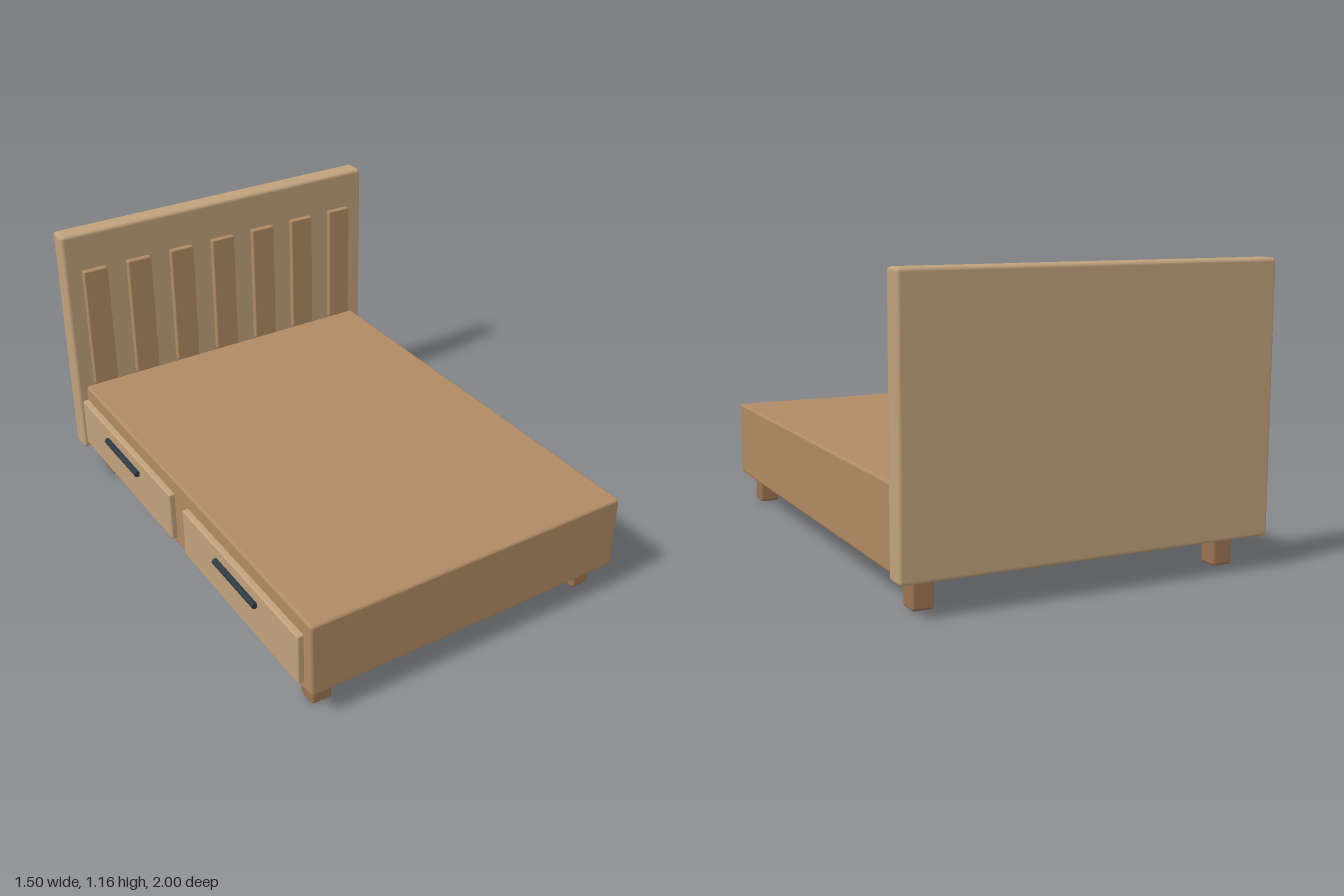
import * as THREE from 'three';
import { RoundedBoxGeometry } from 'three/addons/geometries/RoundedBoxGeometry.js';

const mat = (color) => new THREE.MeshStandardMaterial({ color });

export function createModel() {
  const bed = new THREE.Group();
  bed.name = 'bed';
  const wood = mat(0xb08a64), paleWood = mat(0xc0a27c), darkWood = mat(0x9c7351), metal = mat(0x2f3a44);

  // Softly bevelled block given by its limits on each axis
  function block(name, material, [x0, x1], [y0, y1], [z0, z1], bevel) {
    const mesh = new THREE.Mesh(new RoundedBoxGeometry(x1 - x0, y1 - y0, z1 - z0, 2, bevel), material);
    mesh.position.set((x0 + x1) / 2, (y0 + y1) / 2, (z0 + z1) / 2);
    mesh.name = name;
    bed.add(mesh);
  }

  // Solid base and headboard
  block('base', wood, [-0.705, 0.705], [0.117, 0.437], [-0.97, 1], 0.012);
  block('headboard', paleWood, [-0.747, 0.747], [0.125, 1.165], [-1, -0.91], 0.015);

  // Seven raised slats on the headboard
  for (let i = -3; i <= 3; i++) {
    const x = i * 0.205;
    block('headboardSlat', wood, [x - 0.055, x + 0.055], [0.45, 0.997], [-0.925, -0.888], 0.006);
  }

  // Four short legs
  for (const x of [-0.618, 0.618]) {
    for (const z of [-0.86, 0.89]) {
      block('leg', darkWood, [x - 0.042, x + 0.042], [0, 0.135], [z - 0.042, z + 0.042], 0.012);
    }
  }

  // Two drawers with bar handles on the right side
  for (const z of [-0.485, 0.51]) {
    block('drawerFront', paleWood, [-0.73, -0.695], [0.15, 0.37], [z - 0.44, z + 0.44], 0.008);
    const handle = new THREE.Mesh(new THREE.CylinderGeometry(0.013, 0.013, 0.31, 12), metal);
    handle.rotation.x = Math.PI / 2;
    handle.position.set(-0.738, 0.31, z);
    handle.name = 'drawerHandle';
    bed.add(handle);
  }
  return bed;
}
